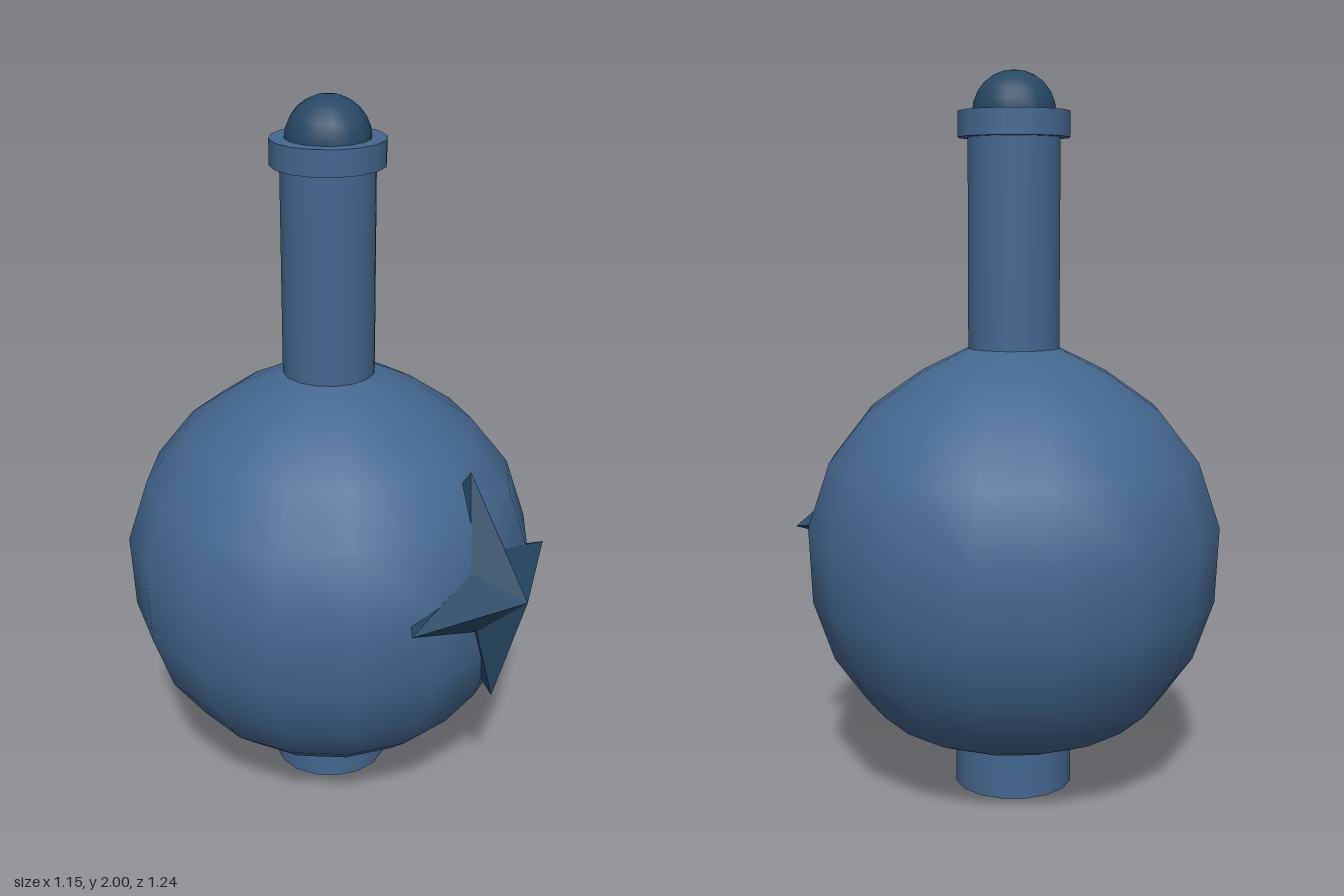
import * as THREE from 'three';

const glass = new THREE.MeshStandardMaterial({ color: 0x44678f });
glass.name = 'blue glass';
const trim = new THREE.MeshStandardMaterial({ color: 0x274865 });
trim.name = 'dark blue trim';

const SIDES = 16;

function add(parent, name, geometry, material, y = 0) {
  const mesh = new THREE.Mesh(geometry, material);
  mesh.name = name;
  mesh.position.y = y;
  parent.add(mesh);
  return mesh;
}

// Four-pointed faceted star, with a ridge to each tip and a back sunk into the flask
function starGeometry() {
  const cy = 0.74, tip = 0.33, notch = 0.085;
  const rim = [];
  for (let i = 0; i < 8; i++) {
    const a = (i * Math.PI) / 4;
    const r = i % 2 ? notch * Math.SQRT2 : tip;
    const dy = r * Math.sin(a);
    const z = i % 2 ? 0.505 - 0.144 * dy : 0.475 - 0.144 * dy;
    rim.push([r * Math.cos(a), cy + dy, z]);
  }
  const front = [0, cy, 0.62], back = [0, cy, 0.22];
  const positions = [];
  rim.forEach((p, i) => {
    const q = rim[(i + 1) % 8];
    positions.push(...front, ...p, ...q, ...back, ...q, ...p);
  });
  const geometry = new THREE.BufferGeometry();
  geometry.setAttribute('position', new THREE.Float32BufferAttribute(positions, 3));
  geometry.computeVertexNormals();
  return geometry;
}

export function createModel() {
  const model = new THREE.Group();
  model.name = 'potionFlask';

  // Flask sits slightly behind centre so the star is included in the depth
  const flask = new THREE.Group();
  flask.name = 'flask';
  flask.position.z = -0.045;
  model.add(flask);

  // Round body
  const profile = [
    [0, 0.125], [0.17, 0.14], [0.28, 0.17], [0.35, 0.2], [0.42, 0.26], [0.51, 0.385], [0.567, 0.55],
    [0.577, 0.76], [0.517, 0.94], [0.407, 1.08], [0.265, 1.18], [0.125, 1.25], [0, 1.27],
  ].map(([r, y]) => new THREE.Vector2(r, y));
  add(flask, 'body', new THREE.LatheGeometry(profile, SIDES), glass);

  // Foot, neck and lip
  add(flask, 'foot', new THREE.CylinderGeometry(0.167, 0.167, 0.2, SIDES), glass, 0.1);
  add(flask, 'neck', new THREE.CylinderGeometry(0.128, 0.128, 0.64, SIDES), glass, 1.52);
  add(flask, 'lip', new THREE.CylinderGeometry(0.155, 0.155, 0.07, SIDES), glass, 1.855);

  // Ball stopper
  add(flask, 'stopper', new THREE.SphereGeometry(0.116, SIDES, 12), trim, 1.884);

  // Star ornament on the front
  add(model, 'star', starGeometry(), trim);

  return model;
}
